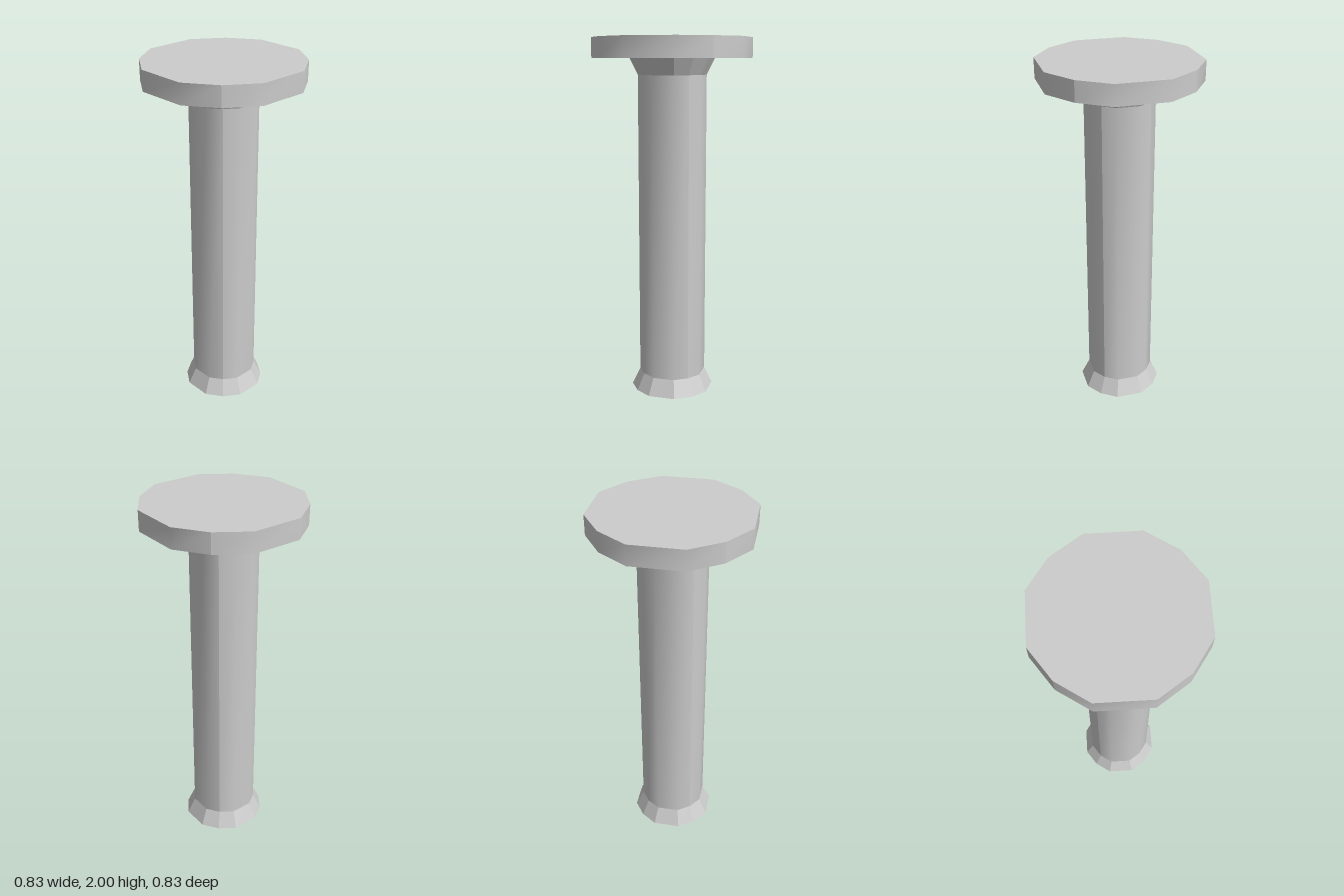
import * as THREE from 'three';
import { mergeGeometries } from 'three/addons/utils/BufferGeometryUtils.js';

// One quarter of the twelve-sided outline, facing +z, for an apothem of 1
const QUARTER = [[-0.731, 0.731], [-0.337, 1], [0.337, 1], [0.731, 0.731]];

// Wall between two heights: four quarters, each smooth within and creased at the joins
function wall(y0, r0, y1, r1) {
  const quarters = [];
  for (let q = 0; q < 4; q++) {
    const geo = new THREE.PlaneGeometry(1, 1, 3, 1);
    const pos = geo.attributes.position;
    for (let i = 0; i < pos.count; i++) {
      const [x, z] = QUARTER[i % 4];
      const top = i < 4;
      const r = top ? r1 : r0;
      pos.setXYZ(i, x * r, top ? y1 : y0, z * r);
    }
    geo.computeVertexNormals();
    quarters.push(geo.rotateY(q * Math.PI / 2));
  }
  return mergeGeometries(quarters);
}

// Flat twelve-sided face, looking up or down
function cap(y, r, up) {
  const points = [];
  for (let q = 0; q < 4; q++) {
    for (const [x, z] of QUARTER.slice(0, 3)) {
      points.push(new THREE.Vector2(x * r, z * r).rotateAround(new THREE.Vector2(), -q * Math.PI / 2));
    }
  }
  const geo = new THREE.ShapeGeometry(new THREE.Shape(points));
  return geo.rotateX(up ? -Math.PI / 2 : Math.PI / 2).translate(0, y, 0);
}

export function createModel() {
  const group = new THREE.Group();
  const smooth = new THREE.MeshStandardMaterial({ color: 0xcccccc, side: THREE.DoubleSide });
  const faceted = new THREE.MeshStandardMaterial({ color: 0xcccccc, side: THREE.DoubleSide, flatShading: true });
  const add = (name, geometry, material) => {
    const mesh = new THREE.Mesh(geometry, material);
    mesh.name = name;
    group.add(mesh);
  };

  // Hollow column, open at the foot
  add('baseFlare', wall(0, 0.222, 0.095, 0.179), faceted);
  add('shaft', wall(0.095, 0.179, 1.8, 0.179), smooth);
  add('topFlare', wall(1.8, 0.179, 1.89, 0.222), faceted);

  // Solid disc on top
  add('topDisc', mergeGeometries([
    wall(1.89, 0.417, 2, 0.417),
    cap(2, 0.417, true),
    cap(1.89, 0.417, false),
  ]), smooth);

  return group;
}
